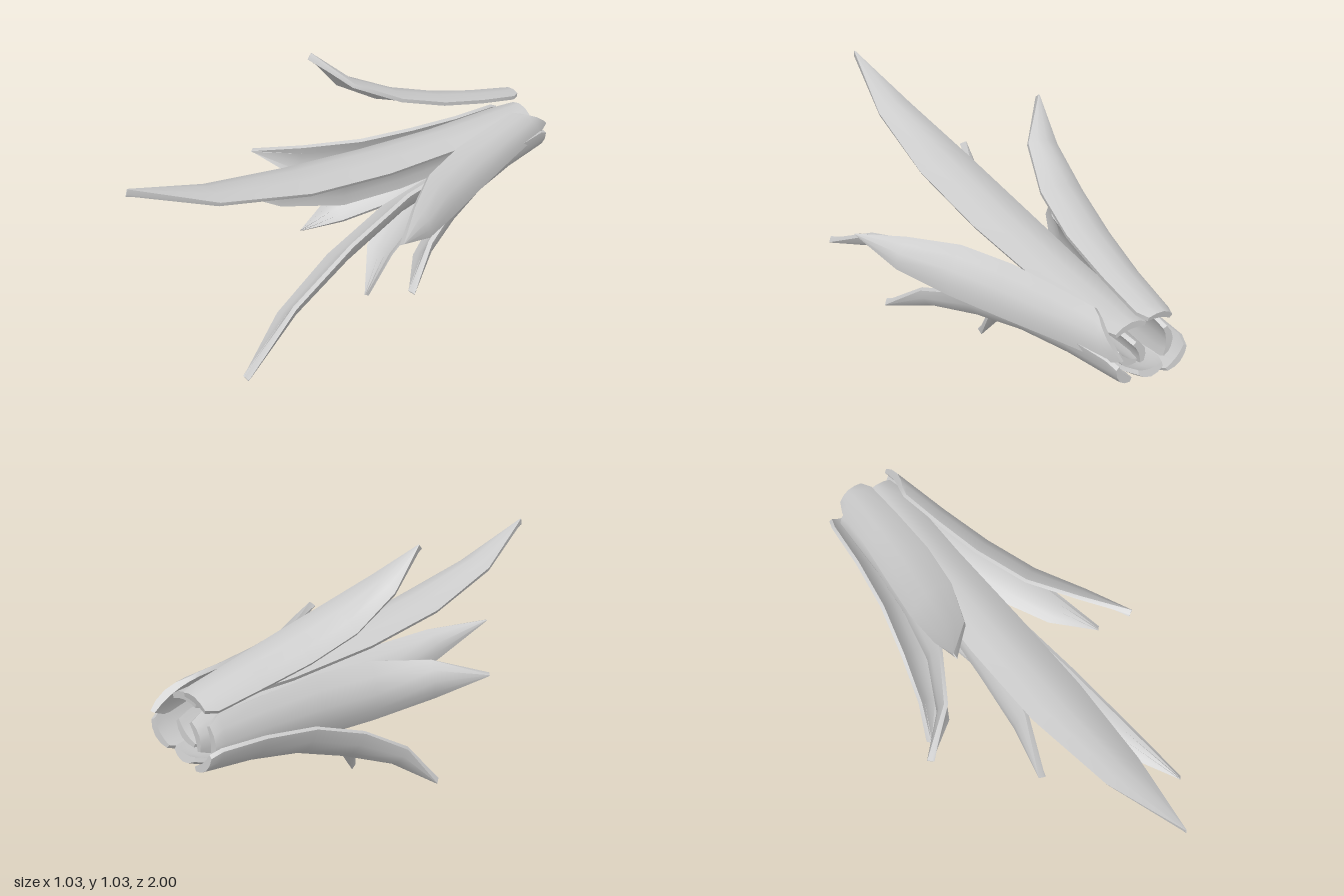
import * as THREE from 'three';
import { toCreasedNormals } from 'three/addons/utils/BufferGeometryUtils.js';

const V = (p) => new THREE.Vector3(...p);
const THICKNESS = 0.03;
// Half-width along the petal: [fraction of length, share of full half-width]
const OUTLINE = [[0, 0.56], [0.04, 0.78], [0.22, 0.88], [0.42, 1], [0.62, 0.98], [0.82, 0.66], [1, 0.02]];
const ARCH = [-1, -0.55, 0, 0.55, 1];

// Arched, pointed petal with thinner rims; the path runs along its outer ridge.
// A skew slants the base end across the petal.
function petalGeometry(path, outward, halfWidth, skew = 0) {
  const curve = new THREE.CatmullRomCurve3(path.map(V));
  const out = V(outward);
  const pos = [], index = [], n = ARCH.length * 2;

  for (const [t, share] of OUTLINE) {
    const ridge = curve.getPointAt(t), tangent = curve.getTangentAt(t);
    const normal = out.clone().addScaledVector(tangent, -out.dot(tangent)).normalize();
    const side = normal.clone().cross(tangent);
    const w = halfWidth * share;
    const slant = skew * (1 - t) ** 4;
    const add = (s, drop) => pos.push(...ridge.clone()
      .addScaledVector(side, s * w)
      .addScaledVector(normal, -drop - 0.4 * w * s * s)
      .addScaledVector(tangent, slant * s).toArray());
    ARCH.forEach((s) => add(s, 0));
    [...ARCH].reverse().forEach((s) => add(s * 0.94, THICKNESS * (1 - 0.35 * s * s)));
  }

  // Skin between neighbouring rings
  for (let r = 0; r < OUTLINE.length - 1; r++) {
    for (let i = 0; i < n; i++) {
      const a = r * n + i, b = r * n + (i + 1) % n;
      index.push(a, a + n, b + n, a, b + n, b);
    }
  }
  // End caps
  const last = (OUTLINE.length - 1) * n;
  for (let i = 0; i < ARCH.length - 1; i++) {
    const j = n - 1 - i;
    index.push(i, i + 1, j - 1, i, j - 1, j);
    index.push(last + i, last + j - 1, last + i + 1, last + i, last + j, last + j - 1);
  }

  const g = new THREE.BufferGeometry();
  g.setAttribute('position', new THREE.Float32BufferAttribute(pos, 3));
  g.setIndex(index);
  return toCreasedNormals(g, 0.8);
}

// Ridge path from base to tip, outward direction, half-width, base skew
const PETALS = {
  topPetal: [[[0.025, 0.635, -0.92], [0.01, 0.642, -0.4], [0.003, 0.7, 0.2], [0.003, 0.77, 0.62], [0.005, 0.892, 0.995]], [0, 1, 0], 0.12],
  upperRightPetal: [[[-0.085, 0.66, -0.96], [-0.11, 0.74, -0.6], [-0.157, 0.835, -0.3], [-0.2, 0.925, -0.12], [-0.258, 1.033, 0]], [-0.3, 0.95, 0], 0.105],
  leftPetal: [[[0.135, 0.61, -0.92], [0.21, 0.585, -0.6], [0.305, 0.57, -0.28], [0.42, 0.57, -0.05], [0.51, 0.585, 0.16]], [0.87, 0.48, 0], 0.102, -0.07],
  lowerLeftPetal: [[[0.12, 0.455, -0.985], [0.185, 0.43, -0.6], [0.28, 0.39, -0.3], [0.36, 0.34, -0.1], [0.453, 0.277, 0.05]], [0.78, -0.62, 0], 0.105],
  innerLowerPetal: [[[0.05, 0.45, -0.92], [0.08, 0.407, -0.3], [0.163, 0.303, 0.2], [0.237, 0.22, 0.5], [0.33, 0.128, 0.75]], [0.63, -0.77, 0], 0.107],
  bottomPetal: [[[-0.03, 0.405, -0.985], [-0.03, 0.362, -0.86], [-0.02, 0.33, -0.5], [0, 0.23, -0.25], [0.028, 0.12, -0.12], [0.052, 0.005, -0.05]], [0.1, -1, 0], 0.102],
  lowerRightPetal: [[[-0.165, 0.415, -0.99], [-0.195, 0.365, -0.6], [-0.267, 0.273, -0.32], [-0.337, 0.193, -0.15], [-0.414, 0.102, -0.05]], [-0.65, -0.75, 0], 0.102],
  rightPetal: [[[-0.165, 0.49, -0.94], [-0.185, 0.485, -0.55], [-0.258, 0.488, -0.2], [-0.37, 0.508, 0], [-0.515, 0.535, 0.13]], [-1, 0.08, 0], 0.123],
  innerRightPetal: [[[-0.05, 0.485, -0.92], [-0.075, 0.485, -0.4], [-0.115, 0.5, 0], [-0.16, 0.545, 0.25], [-0.23, 0.602, 0.47]], [-0.92, 0.38, 0], 0.1],
};

export function createModel() {
  const group = new THREE.Group();
  group.name = 'petalCluster';
  const material = new THREE.MeshStandardMaterial({ color: 0xcccccc });
  for (const [name, spec] of Object.entries(PETALS)) {
    const mesh = new THREE.Mesh(petalGeometry(...spec), material);
    mesh.name = name;
    group.add(mesh);
  }

  // Rest on the ground, centred
  const box = new THREE.Box3().setFromObject(group);
  const c = box.getCenter(new THREE.Vector3());
  group.children.forEach((m) => m.geometry.translate(-c.x, -box.min.y, -c.z));
  return group;
}
